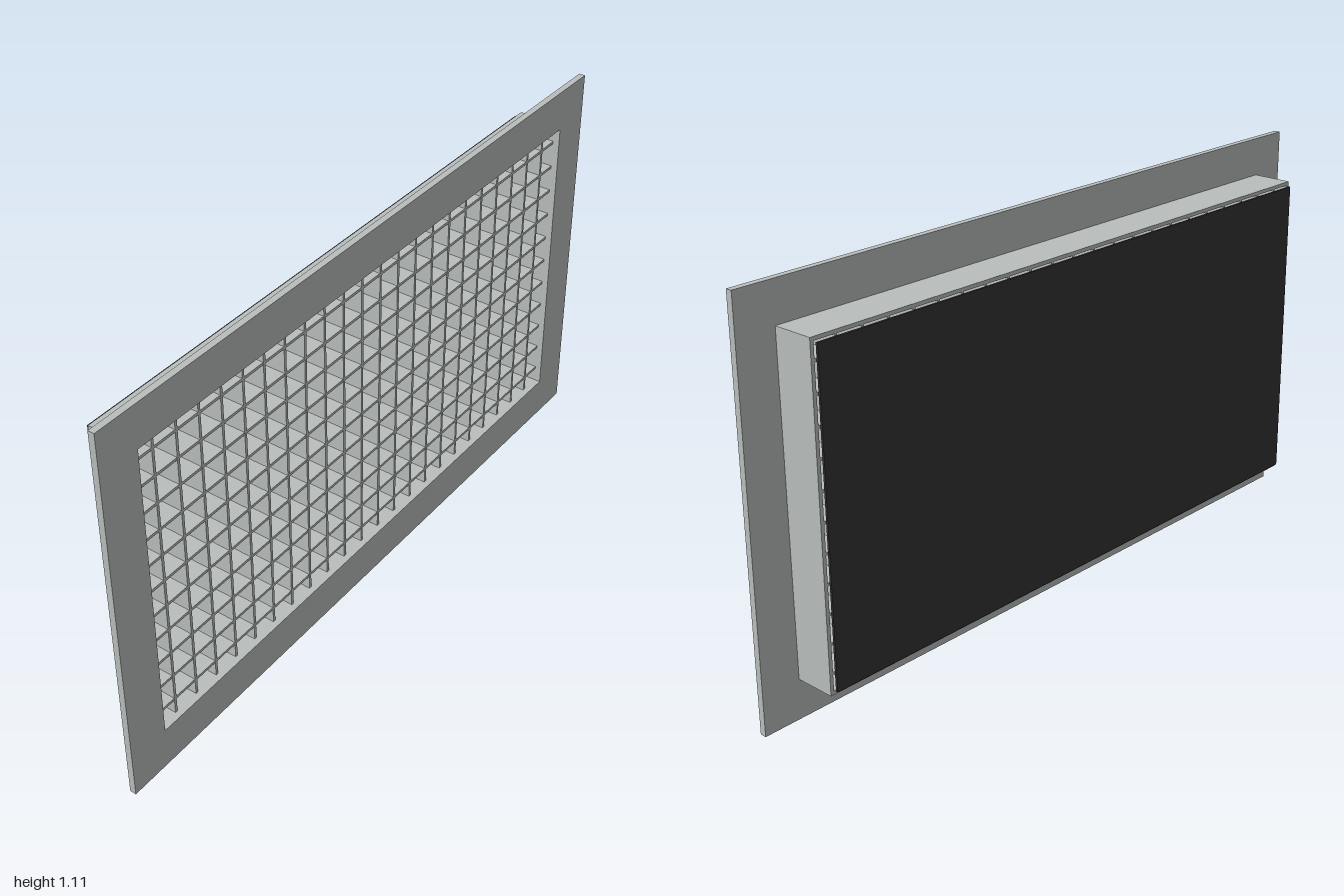
import * as THREE from 'three';

const CY = 0.553; // height of the grille centre

// Rectangular ring, extruded along z from z0 to z1
function frame(w, h, innerW, innerH, z0, z1, material, name) {
  const rect = (Type, a, b) => new Type([
    new THREE.Vector2(-a / 2, -b / 2), new THREE.Vector2(a / 2, -b / 2),
    new THREE.Vector2(a / 2, b / 2), new THREE.Vector2(-a / 2, b / 2),
  ]);
  const shape = rect(THREE.Shape, w, h);
  shape.holes.push(rect(THREE.Path, innerW, innerH));
  const geometry = new THREE.ExtrudeGeometry(shape, { depth: z1 - z0, bevelEnabled: false });
  const mesh = new THREE.Mesh(geometry, material);
  mesh.position.set(0, CY, z0);
  mesh.name = name;
  return mesh;
}

function box(w, h, d, x, y, z, material, name) {
  const mesh = new THREE.Mesh(new THREE.BoxGeometry(w, h, d), material);
  mesh.position.set(x, y, z);
  mesh.name = name;
  return mesh;
}

export function createModel() {
  const grey = new THREE.MeshStandardMaterial({ color: 0xbabfbd });
  grey.name = 'greyMetal';
  const black = new THREE.MeshStandardMaterial({ color: 0x333333 });
  black.name = 'blackBacking';

  const model = new THREE.Group();
  model.name = 'ventGrille';

  // Front flange and the duct collar behind it
  model.add(frame(2, 2 * CY, 1.76, 0.87, 0.055, 0.073, grey, 'flange'));
  model.add(frame(1.78, 0.89, 1.76, 0.87, -0.06, 0.055, grey, 'collar'));

  // Crossing blades inside the collar
  const pitch = 0.0778, thickness = 0.008, depth = 0.115, z = -0.0025;
  const blades = new THREE.Group();
  blades.name = 'blades';
  for (let i = 0; i < 22; i++) {
    blades.add(box(thickness, 0.87, depth, (i - 10.5) * pitch, CY, z, grey, 'verticalBlade'));
  }
  for (let i = 0; i < 11; i++) {
    blades.add(box(1.76, thickness, depth - 0.001, 0, CY + (i - 5) * pitch, z, grey, 'horizontalBlade'));
  }
  model.add(blades);

  // Dark sheet floating just behind the collar
  model.add(box(1.76, 0.867, 0.006, 0, CY, -0.07, black, 'backPanel'));
  return model;
}
